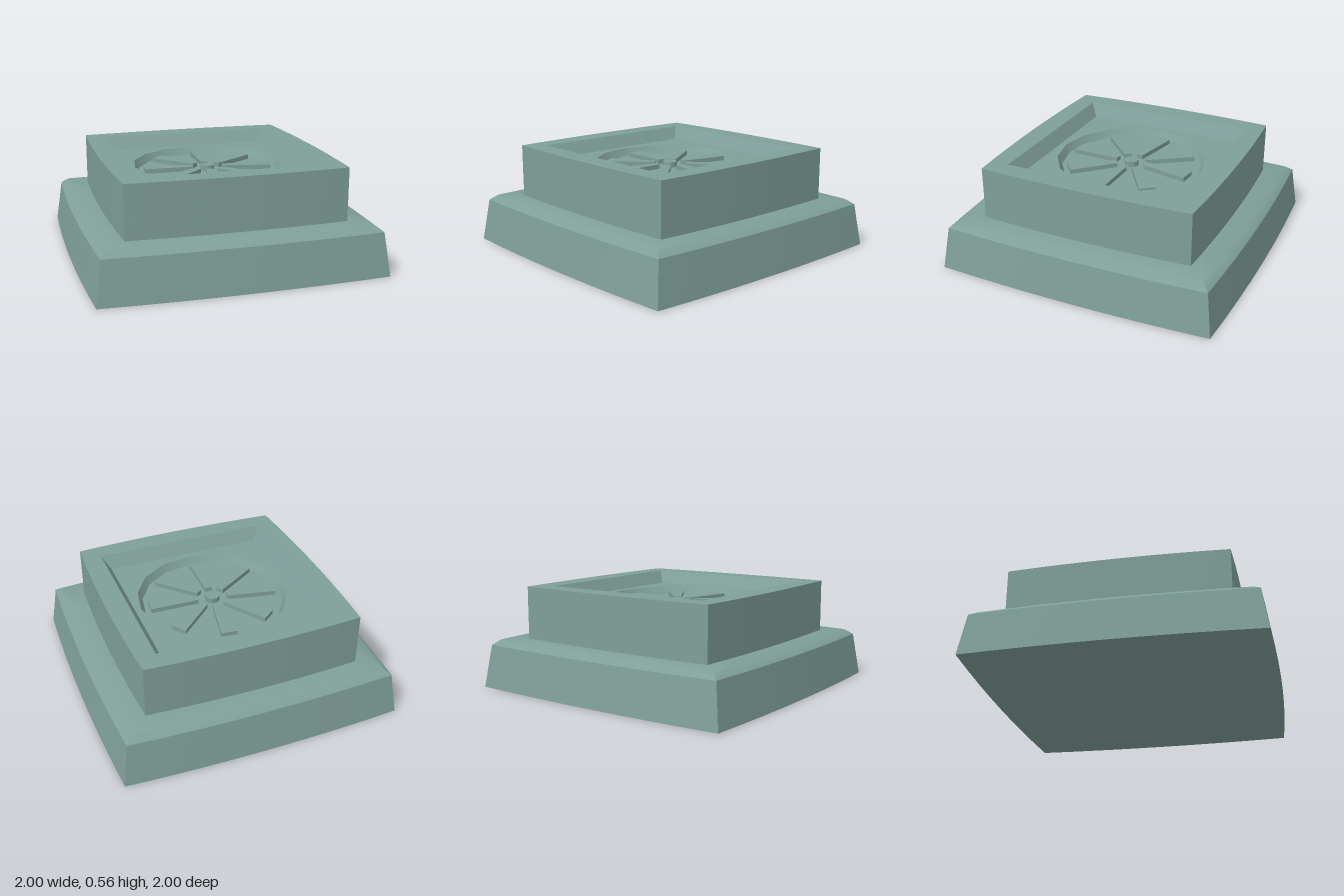
import * as THREE from 'three';
import { toCreasedNormals } from 'three/addons/utils/BufferGeometryUtils.js';

const material = new THREE.MeshStandardMaterial({ color: 0x7f9f99 });
const SEGS = 8; // points per side of every ring
const TURN = THREE.MathUtils.degToRad(-21.7);

// Square ring whose sides bow outward by `bulge`
function squareRing(half, y, bulge = 0) {
  const ring = [];
  for (let side = 0; side < 4; side++) {
    for (let i = 0; i < SEGS; i++) {
      const t = (i / SEGS) * 2 - 1;
      ring.push(new THREE.Vector3(half * t, y, half + bulge * (1 - t * t))
        .applyAxisAngle(new THREE.Vector3(0, 1, 0), side * Math.PI / 2));
    }
  }
  return ring;
}

// Sixteen-sided ring with the same number of points as a square ring
function roundRing(radius, y) {
  const corner = k => {
    const a = -Math.PI / 4 + k * Math.PI / 8;
    return new THREE.Vector3(Math.sin(a) * radius, y, Math.cos(a) * radius);
  };
  const ring = [], step = SEGS / 4;
  for (let i = 0; i < SEGS * 4; i++) {
    const k = Math.floor(i / step);
    ring.push(corner(k).lerp(corner(k + 1), (i % step) / step));
  }
  return ring;
}

// Skin between successive rings
function loft(rings, crease = 0.5) {
  const pos = [], n = SEGS * 4;
  for (let r = 0; r < rings.length - 1; r++) {
    for (let i = 0; i < n; i++) {
      const j = (i + 1) % n;
      const a = rings[r][i], b = rings[r][j], c = rings[r + 1][j], d = rings[r + 1][i];
      for (const p of [a, b, c, a, c, d]) pos.push(p.x, p.y, p.z);
    }
  }
  const geo = new THREE.BufferGeometry();
  geo.setAttribute('position', new THREE.Float32BufferAttribute(pos, 3));
  geo.computeVertexNormals();
  return toCreasedNormals(geo, crease);
}

export function createModel() {
  const group = new THREE.Group();
  const add = (name, geo, turn = 0, y = 0) => {
    const mesh = new THREE.Mesh(geo, material);
    mesh.name = name;
    mesh.rotation.y = turn;
    mesh.position.y = y;
    group.add(mesh);
  };

  // Sloping base with a softened shoulder
  add('base', loft([
    squareRing(0, 0),
    squareRing(0.77, 0, 0.025),
    squareRing(0.738, 0.235, 0.025),
    squareRing(0.7, 0.265, 0.025),
    squareRing(0.55, 0.265),
  ], 0.75), TURN);

  // Upper block with a square recess and a round well in its floor
  add('upperBlock', loft([
    squareRing(0.594, 0.262, 0.02),
    squareRing(0.594, 0.555, 0.02),
    squareRing(0.495, 0.555),
    squareRing(0.45, 0.485),
    roundRing(0.415, 0.485),
    roundRing(0.39, 0.443),
    roundRing(0, 0.443),
  ]), TURN);

  // Ring of raised tapering blades
  const shape = new THREE.Shape([
    new THREE.Vector2(-0.02, 0.085), new THREE.Vector2(0.02, 0.085),
    new THREE.Vector2(0.045, 0.355), new THREE.Vector2(-0.045, 0.355),
  ]);
  const blade = new THREE.ExtrudeGeometry(shape, { depth: 0.025, bevelEnabled: false });
  blade.rotateX(-Math.PI / 2);
  for (let i = 0; i < 8; i++) {
    add('blade', blade, -THREE.MathUtils.degToRad(28.5 + i * 45), 0.443);
  }

  // Central hub
  const hub = toCreasedNormals(new THREE.CylinderGeometry(0.04, 0.04, 0.03, 10), 0.5);
  add('hub', hub, 0, 0.458);

  return group;
}
